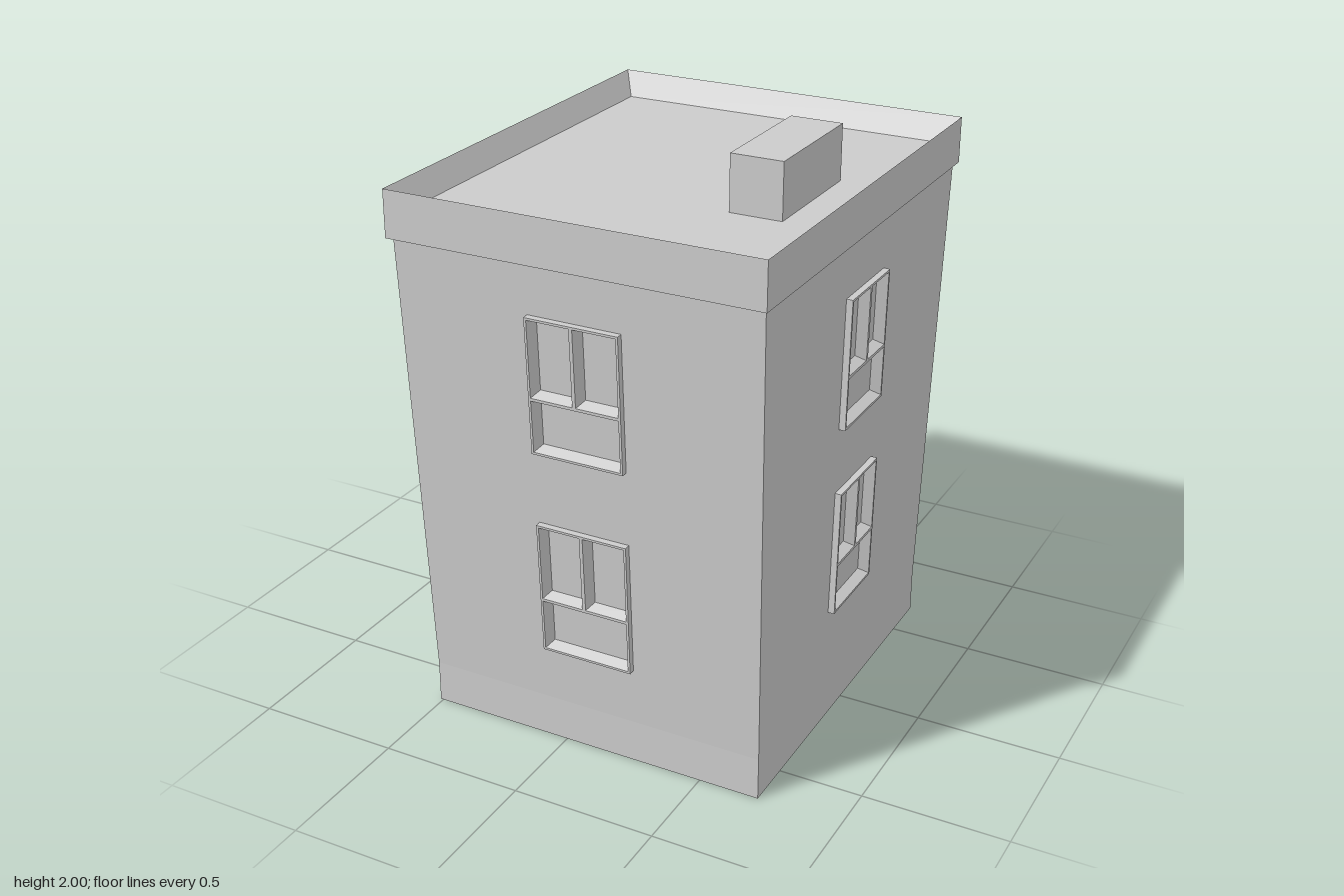
import * as THREE from 'three';

const MAT = new THREE.MeshStandardMaterial({ color: 0xcccccc, flatShading: true, side: THREE.DoubleSide });
const SMOOTH = new THREE.MeshStandardMaterial({ color: 0xcccccc });

function add(parent, name, geometry, material = MAT) {
  const mesh = new THREE.Mesh(geometry, material);
  mesh.name = name;
  parent.add(mesh);
  return mesh;
}

// Skin through rings of equal point count; optional caps on first and last ring
function loft(rings, capStart = false, capEnd = false) {
  const n = rings[0].length, last = (rings.length - 1) * n, index = [];
  for (let r = 0; r < rings.length - 1; r++) {
    for (let i = 0; i < n; i++) {
      const a = r * n + i, b = r * n + (i + 1) % n;
      index.push(a, b, b + n, a, b + n, a + n);
    }
  }
  for (let i = 1; i < n - 1; i++) {
    if (capStart) index.push(0, i + 1, i);
    if (capEnd) index.push(last, last + i, last + i + 1);
  }
  const geo = new THREE.BufferGeometry();
  geo.setAttribute('position', new THREE.Float32BufferAttribute(rings.flat(2), 3));
  geo.setIndex(index);
  const flat = geo.toNonIndexed();
  flat.computeVertexNormals();
  return flat;
}

const rectPoints = (x0, x1, y0, y1) => [[x0, y0], [x1, y0], [x1, y1], [x0, y1]];
const shapeOf = (points, Type = THREE.Shape) => new Type(points.map(p => new THREE.Vector2(...p)));

// Thin frame with bevelled, recessed panels; origin at the bottom centre
function panelUnit(name, w, h, openings, front, back, inset) {
  const group = new THREE.Group();
  group.name = name;
  const outline = shapeOf(rectPoints(-w / 2, w / 2, 0, h));
  outline.holes = openings.map(o => shapeOf(rectPoints(...o), THREE.Path));
  add(group, 'frame', new THREE.ExtrudeGeometry(outline, { depth: front, bevelEnabled: false }));
  for (const [x0, x1, y0, y1] of openings) {
    const rim = rectPoints(x0, x1, y0, y1).map(p => [...p, front]);
    const pane = rectPoints(x0 + inset, x1 - inset, y0 + inset, y1 - inset).map(p => [...p, back]);
    add(group, 'pane', loft([rim, pane], false, true));
  }
  return group;
}

function makeWindow(w, h) {
  const e = w / 2 - 0.008, rail = h * 0.41;
  const openings = [
    [-e, e, 0.008, rail - 0.005],
    [-e, -0.006, rail + 0.005, h - 0.008],
    [0.006, e, rail + 0.005, h - 0.008],
  ];
  return panelUnit('window', w, h, openings, 0.022, -0.012, 0.017);
}

const CX = 0.1, BASE = 0.15, EAVES = 1.73;

// Wall that leans outward, cut out for its windows [u, y, width, height]
function makeWall({ name, turn, out, half0, half1, flare, windows }) {
  const side = new THREE.Group();
  side.name = name;
  side.position.set(CX + Math.sin(turn) * out, BASE, Math.cos(turn) * out);
  side.rotation.y = turn;
  const lean = new THREE.Group();
  lean.rotation.x = Math.atan2(flare, EAVES - BASE);
  side.add(lean);
  const H = Math.hypot(flare, EAVES - BASE);
  const shape = shapeOf([[-half0, 0], [half0, 0], [half1, H], [-half1, H]]);
  for (const [u, y, w, h] of windows) {
    const b = y - BASE, g = 0.004;
    shape.holes.push(shapeOf(rectPoints(u - w / 2 + g, u + w / 2 - g, b + g, b + h - g), THREE.Path));
    const win = makeWindow(w, h);
    win.position.set(u, b, 0);
    lean.add(win);
  }
  add(lean, 'wallPanel', new THREE.ShapeGeometry(shape));
  return side;
}

// Horizontal rectangle about the building's axis
const plan = (hx, hz, y) => [[CX - hx, y, hz], [CX + hx, y, hz], [CX + hx, y, -hz], [CX - hx, y, -hz]];

export function createModel() {
  const model = new THREE.Group();
  model.name = 'building';

  // Upright base course, open underneath
  add(model, 'base', loft([plan(0.61, 0.67, 0), plan(0.61, 0.67, BASE)]));

  // Four leaning walls with windows
  const ends = { out: 0.67, half0: 0.61, half1: 0.635, flare: 0.08 };
  const sides = { out: 0.61, half0: 0.67, half1: 0.75, flare: 0.025 };
  const walls = [
    { name: 'frontWall', turn: 0, ...ends, windows: [[0, 1.09, 0.325, 0.47], [0, 0.355, 0.325, 0.475]] },
    { name: 'backWall', turn: Math.PI, ...ends, windows: [[0, 1.09, 0.325, 0.47], [0, 0.32, 0.325, 0.47]] },
    { name: 'leftWall', turn: Math.PI / 2, ...sides, windows: [[0, 1.1, 0.305, 0.45], [0, 0.42, 0.305, 0.45]] },
    { name: 'entranceWall', turn: -Math.PI / 2, ...sides,
      windows: [-0.46, 0, 0.45].map(u => [u, 1.1, 0.31, 0.45]) },
  ];
  for (const wall of walls) model.add(makeWall(wall));

  // Cornice, sloping parapet and sunken roof
  add(model, 'corniceAndRoof', loft([
    plan(0.635, 0.75, EAVES), plan(0.648, 0.773, EAVES),
    plan(0.648, 0.773, 1.89), plan(0.6, 0.71, 1.81),
  ], false, true));

  // Chimney block
  add(model, 'chimney', new THREE.BoxGeometry(0.18, 0.19, 0.445)).position.set(0.47, 1.905, 0.045);

  // Entrance door
  const door = panelUnit('door', 0.33, 0.52,
    [[-0.15, 0.15, 0.015, 0.235], [-0.15, 0.15, 0.25, 0.505]], 0.025, 0.012, 0.01);
  door.position.set(-0.51, 0, 0.005);
  door.rotation.y = -Math.PI / 2;
  model.add(door);

  // Scalloped awning: seven lobes swept along z
  const lobes = 7, width = 0.57 / lobes, sections = [];
  const section = (z, k) => [
    [-0.51, 0.515], [-0.51, 0.69], [-0.55, 0.69], [-0.58 + 0.008 * k, 0.672],
    [-0.605 + 0.02 * k, 0.62], [-0.68 + 0.042 * k, 0.515],
  ].map(p => [...p, z]);
  for (let i = 0; i < lobes; i++) {
    const z = -0.285 + i * width;
    if (i === 0) sections.push(section(z, 1));
    sections.push(section(z + width * 0.28, 0), section(z + width * 0.72, 0), section(z + width, 1));
  }
  add(model, 'awning', loft(sections, true, true));

  // Oval sign above the awning
  const sign = add(model, 'ovalSign', new THREE.SphereGeometry(1, 16, 12), SMOOTH);
  sign.scale.set(0.115, 0.208, 0.165);
  sign.position.set(-0.635, 0.808, 0.043);

  return model;
}
